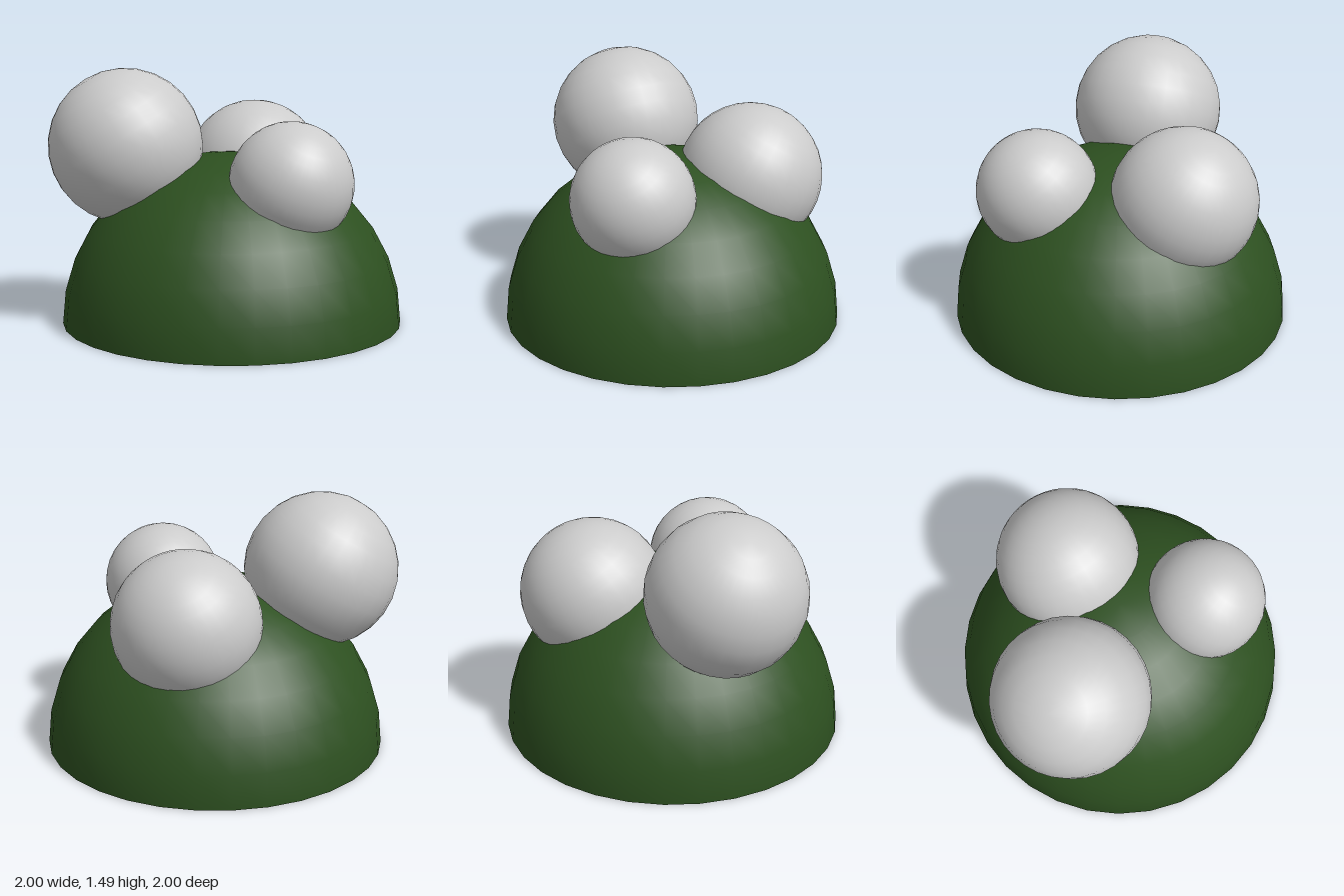
import * as THREE from 'three';

const UP = new THREE.Vector3(0, 1, 0);

export function createModel() {
  const model = new THREE.Group();
  const green = new THREE.MeshStandardMaterial({ color: 0x2d5020, side: THREE.DoubleSide });
  const grey = new THREE.MeshStandardMaterial({ color: 0xcccccc, side: THREE.DoubleSide });

  // Hollow dome, open underneath
  const dome = new THREE.Mesh(new THREE.SphereGeometry(1, 32, 8, 0, Math.PI * 2, 0, Math.PI / 2), green);
  dome.name = 'dome';
  model.add(dome);

  // Ball pointing away from the dome's centre, left open just inside the dome wall
  function addBall(name, radius, x, y, z) {
    const centre = new THREE.Vector3(x, y, z);
    const d = centre.length();
    const wall = (d * d + 1 - radius * radius) / (2 * d);
    const theta = Math.acos((wall - 0.03 - d) / radius);
    const ball = new THREE.Mesh(new THREE.SphereGeometry(radius, 32, 10, 0, Math.PI * 2, 0, theta), grey);
    ball.name = name;
    ball.position.copy(centre);
    ball.quaternion.setFromUnitVectors(UP, centre.clone().normalize());
    model.add(ball);
  }

  addBall('frontBall', 0.45, -0.37, 1.04, 0.495);
  addBall('backBall', 0.425, -0.237, 0.845, -0.395);
  addBall('sideBall', 0.352, 0.505, 0.86, 0);

  return model;
}
